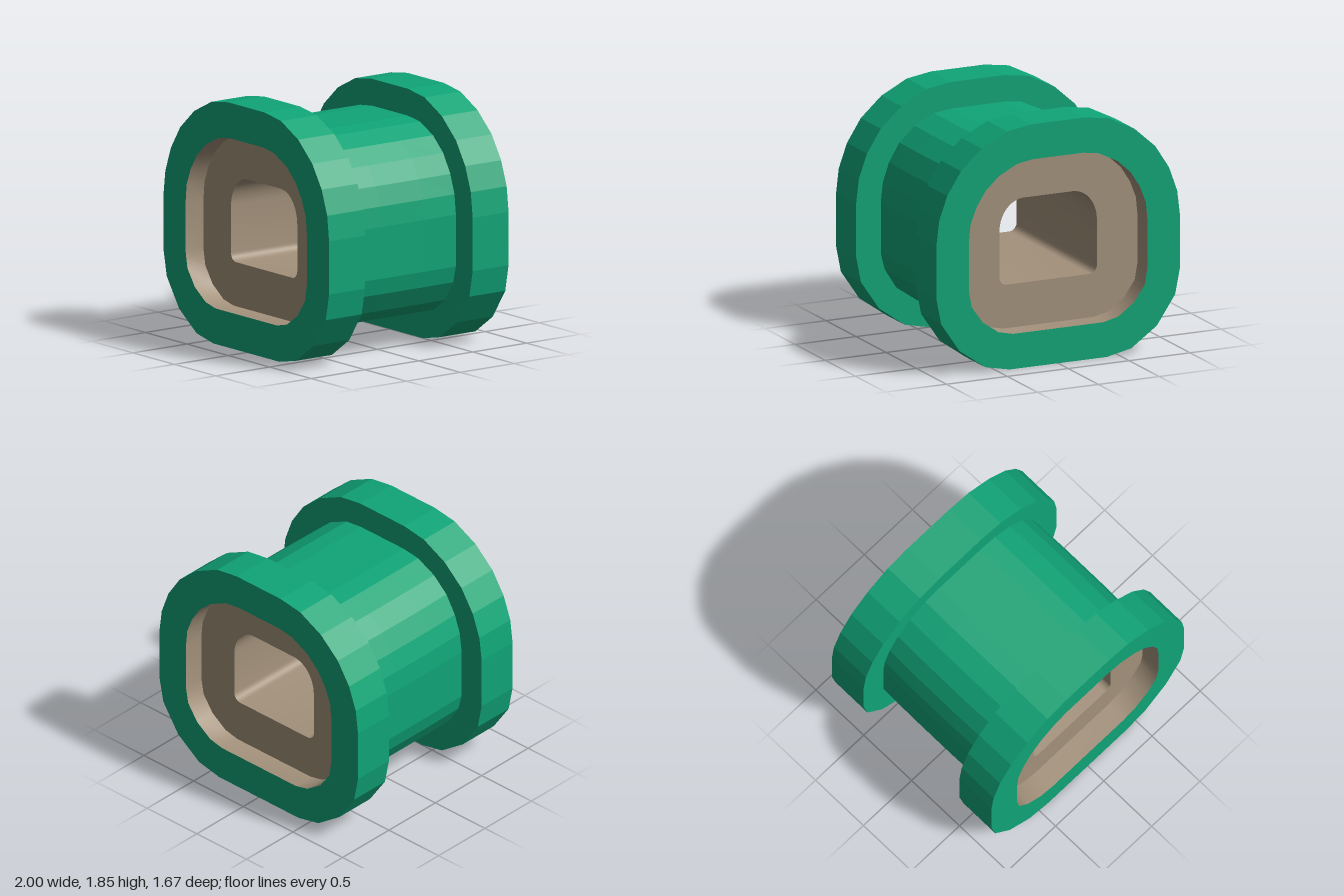
import * as THREE from 'three';
import { toCreasedNormals } from 'three/addons/utils/BufferGeometryUtils.js';

// Right halves of the profiles, bottom to top
const OUTER = [[0.4, 0], [0.6, 0.042], [0.81, 0.19], [0.96, 0.41], [1, 0.61], [1, 1.01],
  [0.977, 1.2], [0.91, 1.385], [0.797, 1.56], [0.627, 1.712], [0.418, 1.817], [0.22, 1.847]];
const BODY = [[0.38, 0.2], [0.525, 0.235], [0.67, 0.335], [0.765, 0.485], [0.797, 0.61], [0.797, 1],
  [0.78, 1.15], [0.73, 1.295], [0.645, 1.437], [0.52, 1.55], [0.36, 1.627], [0.215, 1.645]];
const RECESS = [[0.37, 0.268], [0.49, 0.295], [0.62, 0.385], [0.71, 0.512], [0.733, 0.64], [0.733, 1],
  [0.72, 1.14], [0.672, 1.265], [0.595, 1.385], [0.485, 1.485], [0.335, 1.56], [0.21, 1.58]];

// Bore: small rounded bottom corners, broad arched shoulders
const BORE = [];
for (let i = 0; i <= 6; i++) {
  const a = (i / 6 - 1) * Math.PI / 2;
  BORE.push([0.34 + 0.06 * Math.cos(a), 0.66 + 0.06 * Math.sin(a)]);
}
for (let i = 0; i <= 10; i++) {
  const a = (i / 10) * Math.PI / 2;
  BORE.push([0.2 + 0.2 * Math.cos(a), 1.01 + 0.237 * Math.sin(a)]);
}

// Closed counterclockwise loop from a right half
const loop = (half) => [...half, ...half.map(([x, y]) => [-x, y]).reverse()]
  .map(([x, y]) => new THREE.Vector2(x, y));

// Wall following a profile through rings of [z, x scale]
function wall(half, rings, { inward = false, smooth = false } = {}) {
  const pts = loop(half), pos = [];
  const put = (p, [z, s]) => pos.push(p.x * s, p.y, z);
  for (let r = 0; r < rings.length - 1; r++) {
    for (let i = 0; i < pts.length; i++) {
      let p = pts[i], q = pts[(i + 1) % pts.length];
      if (inward) [p, q] = [q, p];
      const a = rings[r], b = rings[r + 1];
      put(p, a); put(q, a); put(q, b);
      put(p, a); put(q, b); put(p, b);
    }
  }
  const g = new THREE.BufferGeometry();
  g.setAttribute('position', new THREE.Float32BufferAttribute(pos, 3));
  g.computeVertexNormals();
  return smooth ? toCreasedNormals(g, 0.5) : g;
}

// Flat ring between two profiles, facing +z
function ring(outer, inner, z) {
  const shape = new THREE.Shape(loop(outer));
  shape.holes.push(new THREE.Path(loop(inner).reverse()));
  return new THREE.ShapeGeometry(shape).translate(0, 0, z);
}

export function createModel() {
  const green = new THREE.MeshStandardMaterial({ color: 0x10a577 });
  green.name = 'green';
  const sand = new THREE.MeshStandardMaterial({ color: 0xa4927c });
  sand.name = 'sand';

  const model = new THREE.Group();
  model.name = 'hollowSpool';
  const add = (parent, name, geometry, material) => {
    const mesh = new THREE.Mesh(geometry, material);
    mesh.name = name;
    parent.add(mesh);
  };

  // Faceted body with a slight bulge, and the through bore
  add(model, 'body', wall(BODY, [[-0.5, 1], [-0.2, 1.008], [0.2, 1.008], [0.5, 1]]), green);
  add(model, 'bore', wall(BORE, [[-0.667, 1], [0.667, 1]], { inward: true, smooth: true }), sand);

  // Matching flanged ends
  for (const side of ['front', 'back']) {
    const end = new THREE.Group();
    end.name = side + 'End';
    if (side === 'back') end.rotation.y = Math.PI;
    add(end, 'flangeRim', wall(OUTER, [[0.5, 1], [0.833, 1]]), green);
    add(end, 'flangeFace', ring(OUTER, RECESS, 0.833), green);
    add(end, 'flangeInnerFace', ring(OUTER, BODY, -0.5).rotateY(Math.PI), green);
    add(end, 'recessWall', wall(RECESS, [[0.667, 1], [0.833, 1]], { inward: true, smooth: true }), sand);
    add(end, 'recessFloor', ring(RECESS, BORE, 0.667), sand);
    model.add(end);
  }
  return model;
}
